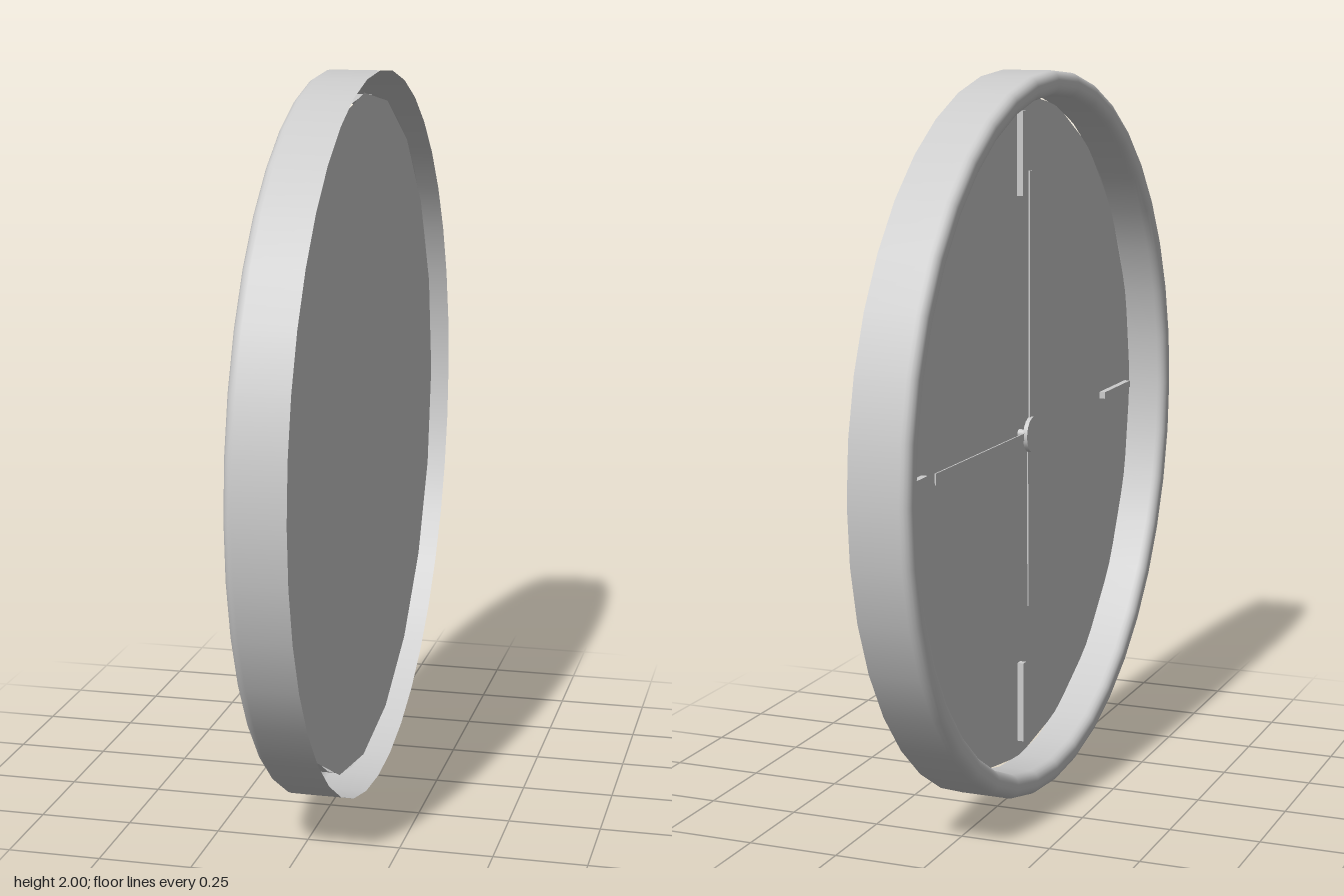
import * as THREE from 'three';

// Round wall clock standing on its edge, its dial facing -x.
export function createModel() {
  const model = new THREE.Group();
  model.name = 'wallClock';
  const material = new THREE.MeshStandardMaterial({ color: 0xcccccc });
  const thin = new THREE.MeshStandardMaterial({ color: 0xcccccc, side: THREE.DoubleSide });

  const clock = new THREE.Group();
  clock.name = 'clock';
  clock.position.y = 1;
  model.add(clock);

  const add = (name, geometry, mat = material, parent = clock) => {
    const mesh = new THREE.Mesh(geometry, mat);
    mesh.name = name;
    parent.add(mesh);
    return mesh;
  };

  // Rim: an open-backed shell, outer wall, rounded front lip, shorter inner wall
  const inner = 0.935, front = 0.082, bevel = 0.025;
  const profile = [new THREE.Vector2(1, -0.08)];
  for (const [centre, start] of [[1 - bevel, 0], [inner + bevel, Math.PI / 2]]) {
    for (let i = 0; i <= 4; i++) {
      const a = start + (i / 4) * Math.PI / 2;
      profile.push(new THREE.Vector2(centre + bevel * Math.cos(a), front - bevel + bevel * Math.sin(a)));
    }
  }
  profile.push(new THREE.Vector2(inner, -0.036));
  add('rim', new THREE.LatheGeometry(profile, 40).rotateZ(Math.PI / 2), thin);

  // Dial: a thin disc set inside the rim
  const dialX = 0.036;
  add('dial', new THREE.CircleGeometry(0.94, 20).rotateY(-Math.PI / 2), thin).position.x = dialX;

  // Four hour markers, flush with the dial
  for (let i = 0; i < 4; i++) {
    const marker = new THREE.BoxGeometry(0.018, 0.23, 0.02);
    marker.translate(dialX - 0.009, 0.775, 0).rotateX(i * Math.PI / 2);
    add('hourMarker', marker);
  }

  // Hands: flat tapered bars reaching out from the centre
  const hand = (name, length, baseWidth, tipWidth, angle, x) => {
    const shape = new THREE.Shape([
      new THREE.Vector2(-baseWidth / 2, 0), new THREE.Vector2(baseWidth / 2, 0),
      new THREE.Vector2(tipWidth / 2, length), new THREE.Vector2(-tipWidth / 2, length),
    ]);
    const geometry = new THREE.ExtrudeGeometry(shape, { depth: 0.004, bevelEnabled: false });
    geometry.rotateY(-Math.PI / 2).rotateX(angle);
    add(name, geometry).position.x = x;
  };
  hand('minuteHand', 0.73, 0.02, 0.02, 0, 0.002);
  hand('hourHand', 0.65, 0.02, 0.03, -Math.PI / 2, 0.004);
  hand('secondHand', 0.49, 0.03, 0.02, Math.PI, 0.006);

  // Centre cap and the spindle behind it
  const disc = (name, radius, depth, x) =>
    add(name, new THREE.CylinderGeometry(radius, radius, depth, 20).rotateZ(Math.PI / 2)).position.x = x;
  disc('centreCap', 0.05, 0.012, -0.003);
  disc('spindle', 0.012, 0.034, 0.018);

  return model;
}
